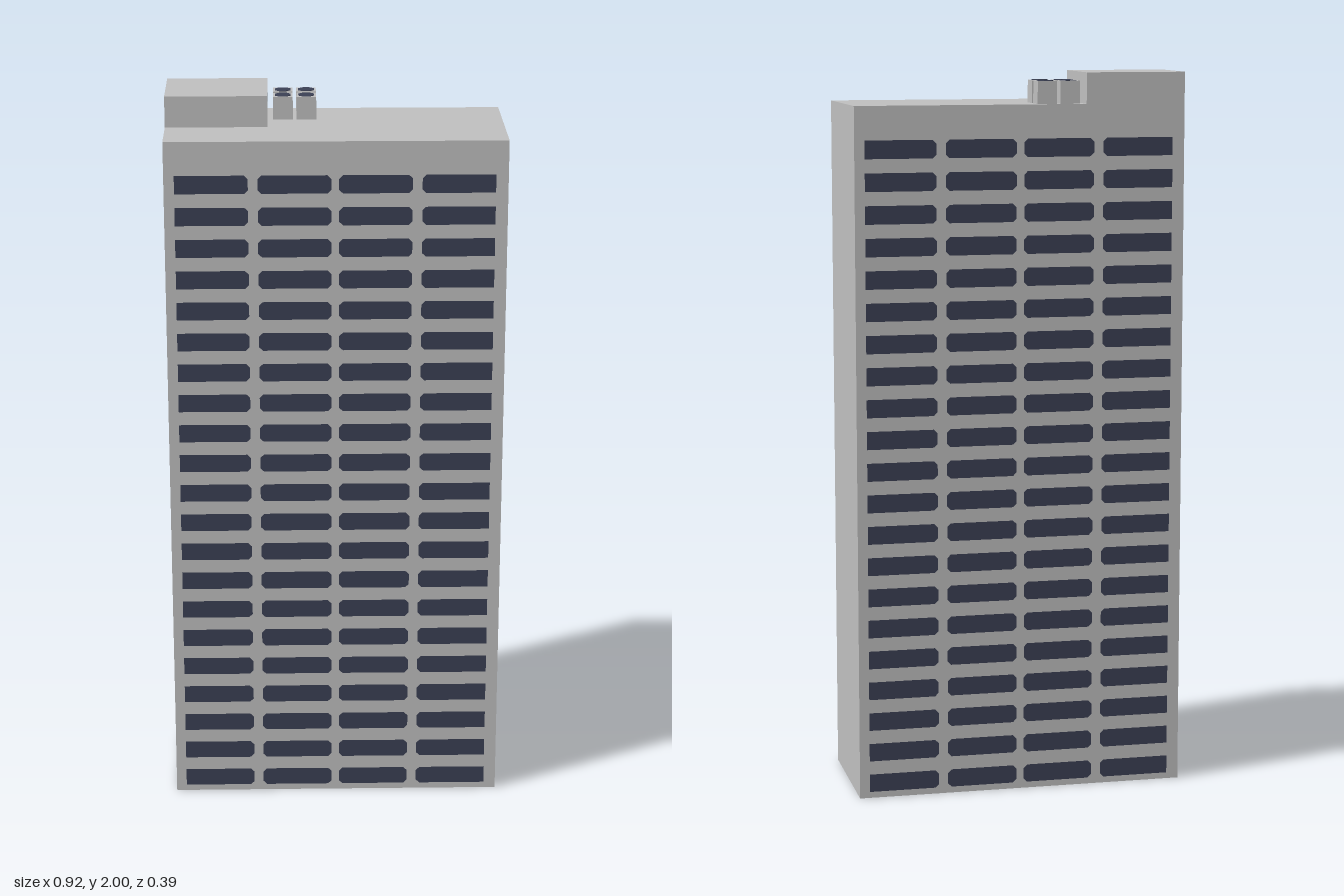
import * as THREE from 'three';

const W = 0.918, D = 0.388, H = 1.915; // main block
const ROWS = 21, ROW_0 = 0.042, PITCH = 0.0878, WIN_H = 0.05;
const COLUMNS = [[-0.431, -0.235], [-0.209, -0.013], [0.008, 0.204], [0.23, 0.426]];

function makeMaterial(name, color) {
  const m = new THREE.MeshStandardMaterial({ color, side: THREE.DoubleSide, flatShading: true });
  m.name = name;
  return m;
}

// Window outline with chamfered ends; the outermost ends stay square
function windowPoints(column, y) {
  const [x0, x1] = COLUMNS[column];
  const a = column === 0 ? 0 : 0.01, b = column === 3 ? 0 : 0.01;
  const h = WIN_H / 2;
  const pts = [[x0 + a, y - h], [x1 - b, y - h]];
  if (b) pts.push([x1, y - h + b], [x1, y + h - b]);
  pts.push([x1 - b, y + h], [x0 + a, y + h]);
  if (a) pts.push([x0, y + h - a], [x0, y - h + a]);
  return pts.map(([x, py]) => new THREE.Vector2(x, py));
}

export function createModel() {
  const model = new THREE.Group();
  model.name = 'towerBlock';
  const concrete = makeMaterial('concrete grey', 0xc0c0c0);
  const glass = makeMaterial('dark blue glass', 0x3b4054);

  const add = (parent, name, geometry, material, x = 0, y = 0, z = 0) => {
    const mesh = new THREE.Mesh(geometry, material);
    mesh.name = name;
    mesh.position.set(x, y, z);
    parent.add(mesh);
    return mesh;
  };

  // Facade wall with openings, and glass panes set flush in them
  const wall = new THREE.Shape([
    new THREE.Vector2(-W / 2, 0), new THREE.Vector2(W / 2, 0),
    new THREE.Vector2(W / 2, H), new THREE.Vector2(-W / 2, H),
  ]);
  const panes = [];
  for (let r = 0; r < ROWS; r++) {
    for (let c = 0; c < COLUMNS.length; c++) {
      const pts = windowPoints(c, ROW_0 + r * PITCH);
      wall.holes.push(new THREE.Path(pts));
      panes.push(new THREE.Shape(pts));
    }
  }
  const wallGeometry = new THREE.ShapeGeometry(wall);
  const paneGeometry = new THREE.ShapeGeometry(panes);
  for (const [name, turn] of [['frontFacade', 0], ['backFacade', Math.PI]]) {
    const facade = new THREE.Group();
    facade.name = name;
    add(facade, 'facadeWall', wallGeometry, concrete, 0, 0, D / 2);
    add(facade, 'windows', paneGeometry, glass, 0, 0, D / 2);
    facade.rotation.y = turn;
    model.add(facade);
  }

  // Blank side walls and roof; the block is hollow and open below
  for (const s of [-1, 1]) {
    const side = add(model, s > 0 ? 'leftWall' : 'rightWall',
      new THREE.PlaneGeometry(D, H), concrete, s * W / 2, H / 2, 0);
    side.rotation.y = s * Math.PI / 2;
  }
  const roof = add(model, 'roof', new THREE.PlaneGeometry(W, D), concrete, 0, H, 0);
  roof.rotation.x = -Math.PI / 2;

  // Rooftop plant room in the back corner
  const pw = 0.277, pd = 0.224, ph = 2 - H;
  add(model, 'plantRoom', new THREE.BoxGeometry(pw, ph, pd), concrete,
    -W / 2 + pw / 2, H + ph / 2, -D / 2 + pd / 2);

  // Four cooling units, each with an octagonal fan on top
  const unitH = 0.062;
  const unitGeometry = new THREE.BoxGeometry(0.054, unitH, 0.053);
  const fanGeometry = new THREE.CylinderGeometry(0.0235, 0.0235, 0.003, 8);
  fanGeometry.rotateY(Math.PI / 8);
  for (const x of [-0.14, -0.076]) {
    for (const z of [-0.151, -0.085]) {
      const unit = new THREE.Group();
      unit.name = 'coolingUnit';
      unit.position.set(x, H, z);
      add(unit, 'unitCasing', unitGeometry, concrete, 0, unitH / 2, 0);
      add(unit, 'fan', fanGeometry, glass, 0, unitH, 0);
      model.add(unit);
    }
  }
  return model;
}
